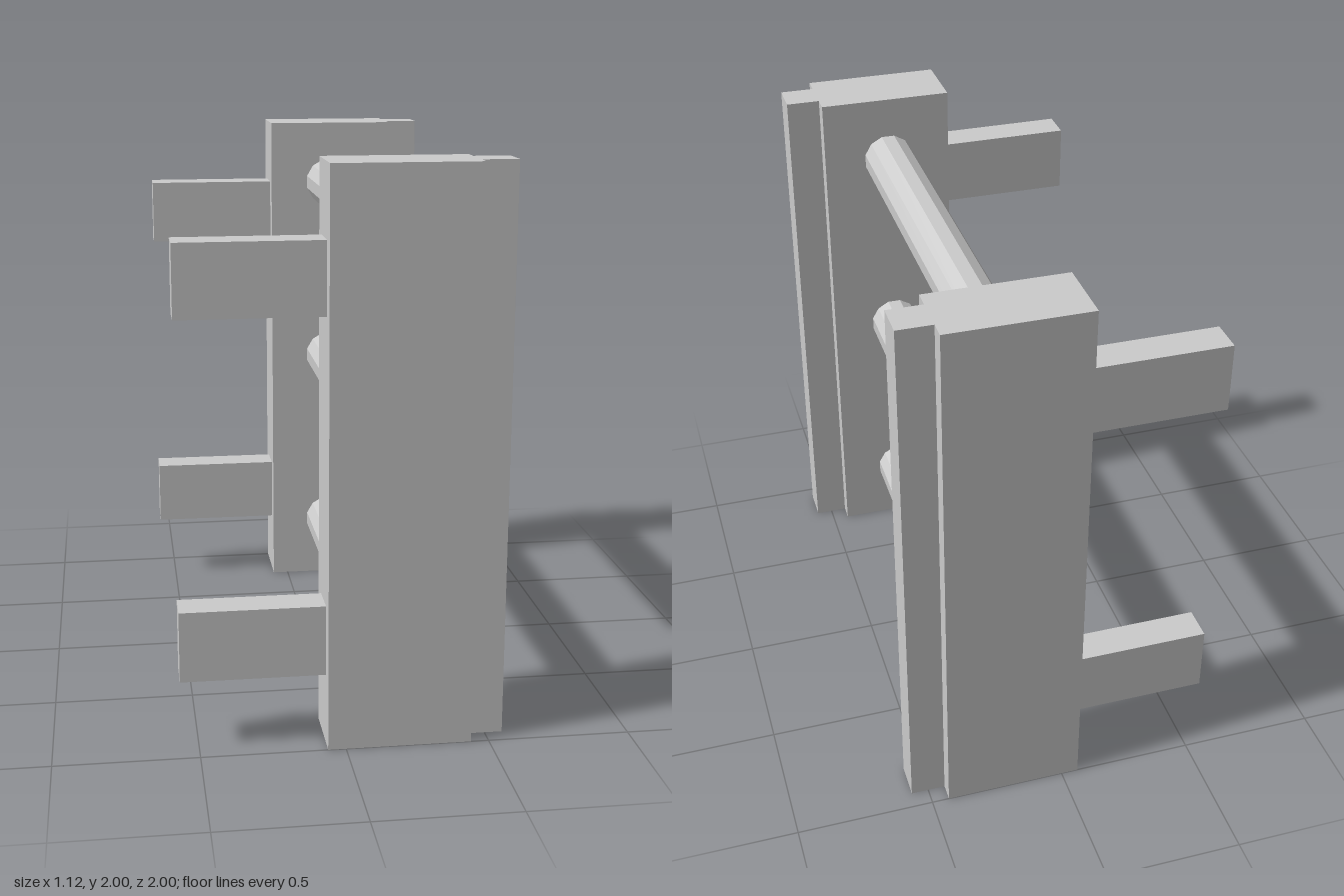
import * as THREE from 'three';

export function createModel() {
  const model = new THREE.Group();
  model.name = 'ladderSection';
  const material = new THREE.MeshStandardMaterial({ color: 0xcccccc, flatShading: true });

  function add(parent, name, geometry, x, y, z) {
    const mesh = new THREE.Mesh(geometry, material);
    mesh.name = name;
    mesh.position.set(x, y, z);
    parent.add(mesh);
    return mesh;
  }

  // Upright cross-section: a thick plank with a narrow tongue along its +x edge
  const profile = new THREE.Shape([
    [-0.0625, -0.125], [0.4375, -0.125], [0.4375, -0.0625], [0.5625, -0.0625],
    [0.5625, 0.0625], [0.4375, 0.0625], [0.4375, 0.125], [-0.0625, 0.125],
  ].map(([x, z]) => new THREE.Vector2(x, z)));
  const uprightGeometry = new THREE.ExtrudeGeometry(profile, { depth: 2, bevelEnabled: false });
  uprightGeometry.rotateX(-Math.PI / 2);

  const pegGeometry = new THREE.BoxGeometry(0.5, 0.25, 0.125);

  // Two uprights, each with two pegs reaching out to -x
  for (const side of [1, -1]) {
    const end = new THREE.Group();
    end.name = side > 0 ? 'frontSide' : 'backSide';
    end.position.z = side * 0.875;
    add(end, 'upright', uprightGeometry, 0, 0, 0);
    add(end, 'lowerPeg', pegGeometry, -0.3125, 0.375, 0);
    add(end, 'upperPeg', pegGeometry, -0.3125, 1.625, 0);
    model.add(end);
  }

  // Twelve-sided rungs with flats facing straight up and sideways
  const rungRadius = 0.09375 / Math.cos(Math.PI / 12);
  const rungGeometry = new THREE.CylinderGeometry(rungRadius, rungRadius, 1.5, 12, 1, false, Math.PI / 12);
  rungGeometry.rotateX(Math.PI / 2);
  ['lowerRung', 'middleRung', 'upperRung'].forEach((name, i) => {
    add(model, name, rungGeometry, 0.1825, 0.2525 + i * 0.75, 0);
  });

  return model;
}
